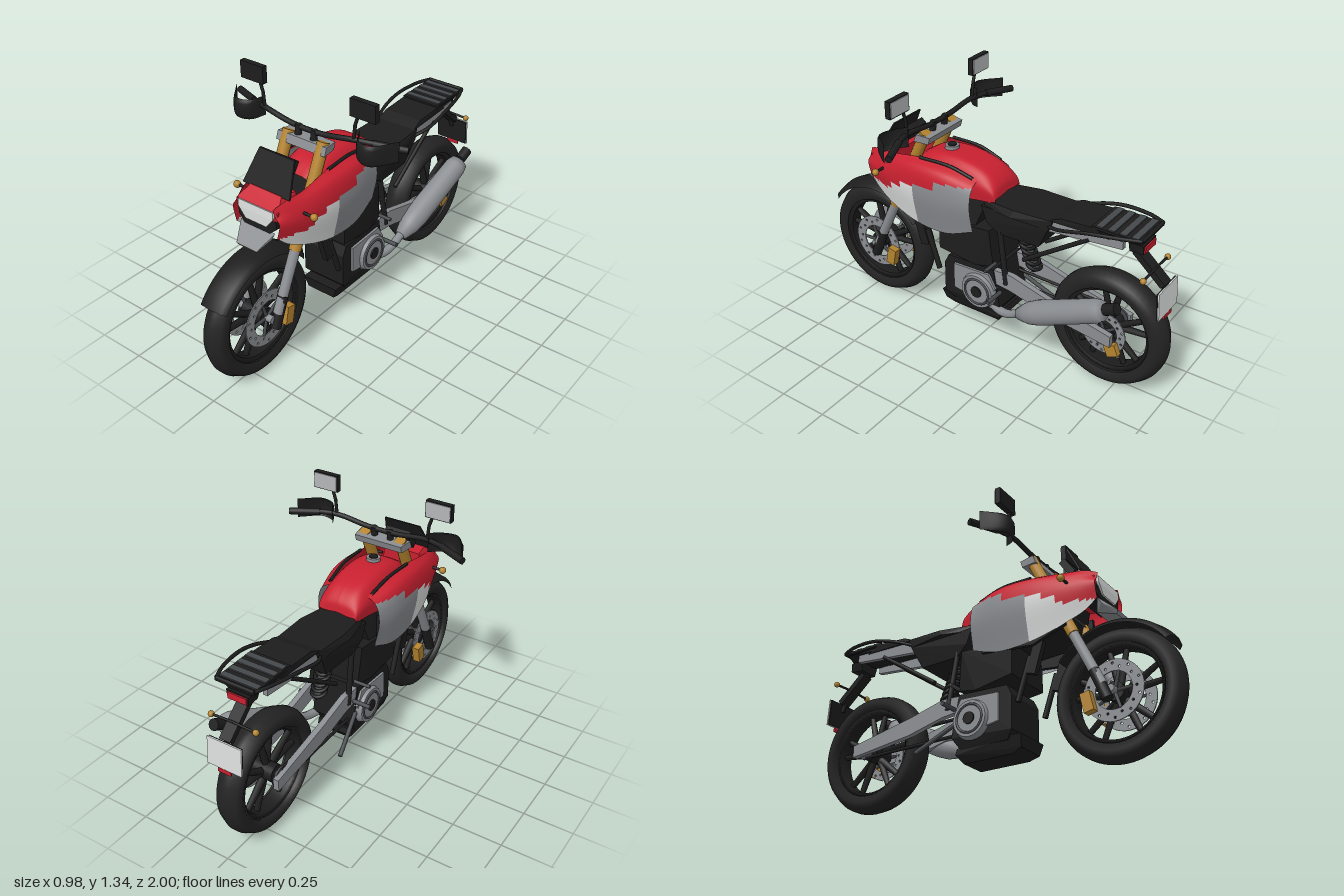
import * as THREE from 'three';
import { ConvexGeometry } from 'three/addons/geometries/ConvexGeometry.js';

const V = (p) => new THREE.Vector3(...p);
const mat = (name, color) => Object.assign(
  new THREE.MeshStandardMaterial({ color, side: THREE.DoubleSide }), { name });
const M = {
  red: mat('red paint', 0xc8202f), white: mat('white paint', 0xdcdedd),
  grey: mat('grey metal', 0x8a8d91), black: mat('black plastic', 0x1d1d1e),
  tyre: mat('tyre rubber', 0x232323), gold: mat('gold metal', 0xb3832f),
  dark: mat('dark metal', 0x45484b), mirror: mat('mirror glass', 0xb4b6b8),
};

export function createModel() {
  const g = new THREE.Group();
  g.name = 'motorcycle';
  const add = (name, geo, m, pos = [0, 0, 0], parent = g) => {
    const o = new THREE.Mesh(geo, m);
    o.name = name;
    o.position.set(...pos);
    parent.add(o);
    return o;
  };
  const box = (name, m, size, pos, rx = 0, parent = g) => {
    const o = add(name, new THREE.BoxGeometry(...size), m, pos, parent);
    o.rotation.x = rx;
    return o;
  };
  // straight bar between two points
  const rod = (name, m, a, b, r, r2 = r, sides = 14, parent = g) => {
    const A = V(a), B = V(b), d = B.clone().sub(A);
    const o = add(name, new THREE.CylinderGeometry(r2, r, d.length(), sides), m,
      A.clone().add(B).multiplyScalar(0.5).toArray(), parent);
    o.quaternion.setFromUnitVectors(V([0, 1, 0]), d.normalize());
    return o;
  };
  const tube = (name, m, pts, r) => add(name,
    new THREE.TubeGeometry(new THREE.CatmullRomCurve3(pts.map(V)), 28, r, 8), m);
  const ball = (name, m, r, pos) => add(name, new THREE.SphereGeometry(r, 14, 10), m, pos);
  // convex block, symmetric in x
  const hull = (name, m, pts) => add(name,
    new ConvexGeometry(pts.flatMap(([x, y, z]) => [V([x, y, z]), V([-x, y, z])])), m);
  // side outline of [z, y] points, extruded from x0 to x1
  const plate = (name, m, pts, x0, x1) => {
    const s = new THREE.Shape(pts.map(([z, y]) => new THREE.Vector2(-z, y)));
    const geo = new THREE.ExtrudeGeometry(s, { depth: x1 - x0, bevelEnabled: false });
    return add(name, geo.rotateY(Math.PI / 2).translate(x0, 0, 0), m);
  };
  const lathe = (pts, seg = 48, start = 0, len = Math.PI * 2) => new THREE.LatheGeometry(
    pts.map((p) => new THREE.Vector2(...p)), seg, start, len).rotateZ(Math.PI / 2);
  // skin stretched over four rails, coloured by position
  const loft = (name, rails, s, mats, pick, nu = 64, nv = 24) => {
    const curves = rails.map((r) => new THREE.CatmullRomCurve3(r.map(V)));
    const pos = [], buckets = mats.map(() => []);
    for (let i = 0; i <= nu; i++) {
      const c = new THREE.CatmullRomCurve3(curves.map((k) => k.getPoint(i / nu)));
      for (let j = 0; j <= nv; j++) {
        const p = c.getPoint(j / nv);
        pos.push(p.x * s, p.y, p.z);
      }
    }
    for (let i = 0; i < nu; i++) for (let j = 0; j < nv; j++) {
      const a = i * (nv + 1) + j, b = a + nv + 1;
      const y = (pos[a * 3 + 1] + pos[(b + 1) * 3 + 1]) / 2;
      const z = (pos[a * 3 + 2] + pos[(b + 1) * 3 + 2]) / 2;
      buckets[pick(y, z)].push(...(s > 0 ? [a, a + 1, b, b, a + 1, b + 1] : [a, b, a + 1, b, b + 1, a + 1]));
    }
    const geo = new THREE.BufferGeometry();
    geo.setAttribute('position', new THREE.Float32BufferAttribute(pos, 3));
    geo.setIndex(buckets.flat());
    let at = 0;
    buckets.forEach((b, k) => { geo.addGroup(at, b.length, k); at += b.length; });
    geo.computeVertexNormals();
    return add(name, geo, mats);
  };

  // wheels
  const wheel = (name, z, y, R, w, discR, discSides) => {
    const h = new THREE.Group();
    h.name = name;
    h.position.set(0, y, z);
    g.add(h);
    const i = R - 0.08;
    add('tyre', lathe([[i, -w * 0.8], [R - 0.045, -w], [R - 0.018, -w * 0.78], [R, -w * 0.2], [R, w * 0.2],
      [R - 0.018, w * 0.78], [R - 0.045, w], [i, w * 0.8], [i, -w * 0.8]], 56), M.tyre, [0, 0, 0], h);
    add('rim', lathe([[i - 0.02, -0.035], [i, -0.045], [i, 0.045], [i - 0.02, 0.035], [i - 0.02, -0.035]]), M.black, [0, 0, 0], h);
    rod('hub', M.black, [-0.06, 0, 0], [0.06, 0, 0], 0.045, 0.045, 24, h);
    rod('axle', M.grey, [-0.1, 0, 0], [0.1, 0, 0], 0.018, 0.018, 14, h);
    for (let k = 0; k < 5; k++) for (const s of [-1, 1]) {
      const a = k * Math.PI * 0.4 + Math.PI / 2, b = a + s * 0.2;
      rod('spoke', M.black, [0, 0.03 * Math.sin(a), 0.03 * Math.cos(a)],
        [0, i * Math.sin(b), i * Math.cos(b)], 0.02, 0.014, 6, h);
    }
    const disc = new THREE.Shape().absarc(0, 0, discR, 0, Math.PI * 2);
    disc.holes.push(new THREE.Path().absarc(0, 0, discR * 0.62, 0, Math.PI * 2, true));
    for (let k = 0; k < 20; k++) {
      const a = k * Math.PI / 10, r = discR * (k % 2 ? 0.88 : 0.76);
      disc.holes.push(new THREE.Path().absarc(r * Math.cos(a), r * Math.sin(a), 0.006, 0, Math.PI * 2, true));
    }
    for (const s of discSides) {
      add('brakeDisc', new THREE.ExtrudeGeometry(disc, { depth: 0.006, bevelEnabled: false, curveSegments: 20 })
        .rotateY(Math.PI / 2), M.grey, [s * 0.066 - 0.003, 0, 0], h);
      for (let k = 0; k < 5; k++) {
        const a = k * Math.PI * 0.4;
        rod('discCarrier', M.dark, [s * 0.06, 0, 0],
          [s * 0.066, discR * 0.64 * Math.sin(a), discR * 0.64 * Math.cos(a)], 0.01, 0.008, 6, h);
      }
    }
  };
  wheel('frontWheel', 0.686, 0.32, 0.314, 0.062, 0.145, [-1, 1]);
  wheel('rearWheel', -0.69, 0.31, 0.306, 0.07, 0.115, [1]);
  add('frontFender', lathe([[0.315, -0.078], [0.34, -0.06], [0.352, 0], [0.34, 0.06], [0.315, 0.078]],
    30, 0.6, 1.9), M.black, [0, 0.32, 0.686]);

  const rails = (t, pick) => t.map((r) => pick(r));
  // z, top y, top x, widest x, middle y, bottom y, bottom x of the side fairing
  const side = [[0.655, 0.90, 0.10, 0.135, 0.84, 0.76, 0.12], [0.6, 0.92, 0.115, 0.155, 0.83, 0.71, 0.13],
    [0.5, 0.93, 0.13, 0.18, 0.82, 0.66, 0.15], [0.33, 0.955, 0.13, 0.2, 0.81, 0.61, 0.165],
    [0.15, 0.955, 0.12, 0.2, 0.81, 0.605, 0.165], [0, 0.92, 0.105, 0.175, 0.8, 0.655, 0.15]];
  // z, top y, half width, lower y of the tank
  const tank = [[-0.1, 0.85, 0.1, 0.815], [-0.085, 0.9, 0.105, 0.82], [-0.02, 0.952, 0.115, 0.82],
    [0.14, 0.985, 0.125, 0.8], [0.3, 0.968, 0.12, 0.8], [0.39, 0.92, 0.1, 0.8]];
  const paint = (y, z) => {
    if (z < 0.32) return y < (z < 0.2 ? 0.89 : 0.835) ? 2 : 0;
    return y < (z > 0.47 ? 0.755 : z > 0.4 ? 0.8 : 0.83) ? 1 : 0;
  };
  for (const s of [-1, 1]) {
    loft('sideFairing', [rails(side, (r) => [r[2], r[1], r[0]]), rails(side, (r) => [r[3] - 0.02, r[1] - 0.035, r[0]]),
      rails(side, (r) => [r[3], r[4], r[0]]), rails(side, (r) => [r[6], r[5], r[0]])], s, [M.red, M.white, M.grey], paint);
    loft('fuelTank', [rails(tank, (r) => [0, r[1], r[0]]), rails(tank, (r) => [r[2] * 0.65, r[1] - 0.008, r[0]]),
      rails(tank, (r) => [r[2], (r[1] + r[3]) / 2 + 0.01, r[0]]), rails(tank, (r) => [r[2], r[3], r[0]])],
    s, [M.red], () => 0, 30, 14);
    tube('tankSeam', M.black, [[s * 0.118, 0.925, 0.02], [s * 0.128, 0.958, 0.15], [s * 0.134, 0.957, 0.32]], 0.008);
    plate('lowerFairingInner', M.black, [[0.5, 0.66], [0.33, 0.6], [0.05, 0.63], [0.05, 0.8], [0.5, 0.8]], s * 0.14 - 0.01, s * 0.14 + 0.01);

    // fork legs
    rod('forkTube', M.gold, [s * 0.1, 0.62, 0.52], [s * 0.1, 1.08, 0.305], 0.029);
    rod('forkLower', M.grey, [s * 0.1, 0.34, 0.65], [s * 0.1, 0.65, 0.505], 0.025);
    rod('forkBoot', M.black, [s * 0.1, 0.27, 0.672], [s * 0.1, 0.42, 0.612], 0.026);
    box('frontCaliper', M.gold, [0.04, 0.095, 0.05], [s * 0.085, 0.28, 0.57], -0.2);
    // handlebar controls
    rod('grip', M.black, [s * 0.34, 1.135, 0.268], [s * 0.485, 1.125, 0.208], 0.017);
    loft('handGuard', [1.07, 1.09, 1.15, 1.17].map((y, k) => [[0.27, y + 0.012, 0.27], [0.31, y, 0.33 + (k % 3 ? 0.012 : 0)],
      [0.38, y, 0.345 + (k % 3 ? 0.012 : 0)], [0.465, y + 0.01, 0.25]]), s, [M.black], () => 0, 16, 6);
    rod('mirrorStem', M.black, [s * 0.255, 1.14, 0.29], [s * 0.262, 1.21, 0.29], 0.008);
    rod('mirrorStem', M.black, [s * 0.262, 1.21, 0.29], [s * 0.285, 1.28, 0.29], 0.008);
    box('mirrorShell', M.black, [0.135, 0.085, 0.028], [s * 0.312, 1.298, 0.292]);
    box('mirrorGlass', M.mirror, [0.125, 0.075, 0.004], [s * 0.312, 1.298, 0.276]);
    rod('barRiser', M.black, [s * 0.045, 1.05, 0.31], [s * 0.045, 1.12, 0.3], 0.016);
    // turn signals
    rod('frontSignalStem', M.black, [s * 0.13, 0.85, 0.53], [s * 0.22, 0.85, 0.53], 0.007);
    ball('frontSignal', M.gold, 0.018, [s * 0.225, 0.85, 0.53]);
    rod('rearSignalStem', M.black, [0, 0.71, -0.89], [s * 0.12, 0.705, -0.89], 0.006);
    ball('rearSignal', M.gold, 0.015, [s * 0.12, 0.705, -0.89]);
    // frame, swingarm and pegs
    plate('swingarm', M.grey, [[-0.02, 0.39], [-0.02, 0.455], [-0.2, 0.46], [-0.39, 0.41], [-0.75, 0.335],
      [-0.75, 0.275], [-0.4, 0.32], [-0.2, 0.37]], s * 0.1 - 0.015, s * 0.1 + 0.015);
    rod('rearFrameTube', M.black, [s * 0.09, 0.8, -0.6], [s * 0.1, 0.57, -0.26], 0.011);
    rod('seatFrameTube', M.black, [s * 0.1, 0.72, -0.12], [s * 0.11, 0.4, -0.17], 0.014);
    plate('tailFrame', M.grey, [[-0.38, 0.77], [-0.42, 0.835], [-0.77, 0.85], [-0.77, 0.81]], s * 0.085 - 0.012, s * 0.085 + 0.012);
    rod('frontDownTube', M.black, [s * 0.12, 0.56, 0.3], [s * 0.12, 0.35, 0.23], 0.014);
    box('radiatorGuard', M.black, [0.03, 0.16, 0.05], [s * 0.12, 0.545, 0.33], 0.3);
    rod('footPeg', M.dark, [s * 0.1, s < 0 ? 0.395 : 0.33, -0.13], [s * 0.21, s < 0 ? 0.395 : 0.33, -0.13], 0.011);
    rod('crashPeg', M.dark, [s * 0.1, 0.49, -0.1], [s * 0.19, 0.49, -0.1], 0.009);
    tube('rackRail', M.black, [[s * 0.1, 0.8, -0.38], [s * 0.145, 0.83, -0.47], [s * 0.155, 0.87, -0.62],
      [s * 0.13, 0.885, -0.78], [s * 0.1, 0.885, -0.86]], 0.009);
    add('engineCover', new THREE.CylinderGeometry(0.09, 0.1, 0.03, 28).rotateZ(-s * Math.PI / 2), M.grey, [s * 0.135, 0.317, -0.02]);
    add('coverRing', new THREE.TorusGeometry(0.07, 0.006, 6, 28).rotateY(Math.PI / 2), M.dark, [s * 0.15, 0.317, -0.02]);
    add('coverCap', new THREE.CylinderGeometry(0.03, 0.03, 0.01, 20).rotateZ(Math.PI / 2), M.black, [s * 0.152, 0.317, -0.02]);
    plate('engineSide', M.grey, [[0.13, 0.28], [0.13, 0.42], [-0.08, 0.43], [-0.12, 0.36], [-0.06, 0.25]], s * 0.122 - 0.01, s * 0.122 + 0.01);
  }

  // front bodywork
  hull('innerBody', M.black, [[0.11, 0.66, 0.46], [0.11, 0.83, 0.5], [0.1, 0.86, 0.1], [0.12, 0.64, 0.02], [0.09, 0.85, -0.06]]);
  hull('headlightCowl', M.red, [[0.12, 0.85, 0.645], [0.09, 0.93, 0.585], [0.12, 0.88, 0.645], [0.1, 0.92, 0.5], [0.07, 0.785, 0.645], [0.11, 0.82, 0.5]]);
  hull('headlight', M.white, [[0.1, 0.885, 0.655], [0.1, 0.85, 0.658], [0.06, 0.8, 0.658], [0.1, 0.87, 0.62], [0.06, 0.8, 0.62]]);
  hull('headlightSurround', M.black, [[0.11, 0.84, 0.648], [0.11, 0.8, 0.645], [0.07, 0.765, 0.652], [0.1, 0.78, 0.56]]);
  hull('beak', M.grey, [[0.1, 0.775, 0.645], [0.09, 0.745, 0.66], [0.05, 0.69, 0.715], [0.06, 0.705, 0.725], [0.06, 0.72, 0.62]]);
  hull('windscreen', M.black, [[0.135, 0.925, 0.585], [0.1, 1.075, 0.505], [0.135, 0.925, 0.575], [0.1, 1.075, 0.495]]);
  box('instruments', M.black, [0.14, 0.1, 0.035], [0, 1.0, 0.48], -0.6);
  hull('upperClamp', M.grey, [[0.14, 1.035, 0.35], [0.14, 1.075, 0.335], [0.13, 1.035, 0.27], [0.13, 1.07, 0.26]]);
  hull('lowerClamp', M.dark, [[0.13, 0.74, 0.49], [0.13, 0.78, 0.47], [0.12, 0.76, 0.42]]);
  tube('handlebar', M.black, [[-0.485, 1.125, 0.208], [-0.36, 1.135, 0.26], [-0.25, 1.135, 0.29], [-0.08, 1.112, 0.3], [0.08, 1.112, 0.3],
    [0.25, 1.135, 0.29], [0.36, 1.135, 0.26], [0.485, 1.125, 0.208]], 0.013);
  add('fuelCap', new THREE.CylinderGeometry(0.034, 0.036, 0.025, 24), M.grey, [0, 0.987, 0.225]);
  add('fuelCapCentre', new THREE.CylinderGeometry(0.022, 0.022, 0.006, 20), M.black, [0, 1.001, 0.225]);

  // engine and skid plate
  hull('airbox', M.black, [[0.14, 0.66, 0.21], [0.14, 0.49, 0.21], [0.13, 0.46, 0], [0.12, 0.48, -0.1], [0.13, 0.68, -0.08]]);
  hull('engineBlock', M.black, [[0.12, 0.45, 0.17], [0.12, 0.4, 0.195], [0.12, 0.23, 0.195], [0.1, 0.19, 0.16], [0.1, 0.19, -0.1], [0.12, 0.25, -0.14], [0.12, 0.46, -0.1]]);
  hull('skidPlate', M.black, [[0.1, 0.21, 0.23], [0.08, 0.15, 0.22], [0.07, 0.13, 0.17], [0.07, 0.13, -0.1], [0.1, 0.17, -0.13], [0.1, 0.2, -0.12]]);
  tube('exhaustPipe', M.grey, [[0.1, 0.24, -0.08], [0.12, 0.235, -0.15], [0.13, 0.25, -0.21], [0.14, 0.3, -0.29]], 0.022);
  const muffler = add('muffler', new THREE.LatheGeometry([[0, 0], [0.032, 0], [0.055, 0.07], [0.062, 0.14], [0.057, 0.49], [0.048, 0.525], [0, 0.53]]
    .map((p) => new THREE.Vector2(...p)), 28), M.grey, [0.14, 0.285, -0.27]);
  const out = V([0.045, 0.245, -0.48]).normalize();
  muffler.quaternion.setFromUnitVectors(V([0, 1, 0]), out);
  rod('exhaustTip', M.black, [0.184, 0.535, -0.75], [0.187, 0.565, -0.81], 0.028);
  rod('shockBody', M.dark, [0, 0.46, -0.27], [0, 0.68, -0.18], 0.022);
  for (let k = 0; k < 7; k++) {
    const c = add('shockCoil', new THREE.TorusGeometry(0.037, 0.009, 6, 18).rotateX(Math.PI / 2 - 0.39), M.black, [0, 0.49 + k * 0.026, -0.258 + k * 0.0106]);
    c.rotation.x = 0;
  }
  rod('sideStand', M.dark, [-0.11, 0.34, -0.08], [-0.16, 0.2, -0.32], 0.011);
  for (const y of [0.275, 0.36]) rod('driveChain', M.black, [-0.085, y, -0.08], [-0.085, y > 0.3 ? 0.35 : 0.27, -0.69], 0.008);
  add('rearSprocket', new THREE.CylinderGeometry(0.05, 0.05, 0.01, 20).rotateZ(Math.PI / 2), M.dark, [-0.085, 0.31, -0.69]);
  box('rearCaliper', M.gold, [0.03, 0.06, 0.06], [0.085, 0.245, -0.75], 0.4);

  // seat, rack and tail
  hull('riderSeat', M.black, [[0.1, 0.825, -0.04], [0.11, 0.79, -0.04], [0.14, 0.8, -0.2], [0.125, 0.835, -0.22], [0.115, 0.84, -0.42], [0.12, 0.79, -0.4]]);
  hull('sidePanel', M.black, [[0.12, 0.8, -0.03], [0.12, 0.79, -0.4], [0.11, 0.67, -0.12], [0.1, 0.67, -0.34], [0.12, 0.72, -0.06]]);
  hull('pillionSeat', M.black, [[0.11, 0.835, -0.39], [0.105, 0.865, -0.46], [0.105, 0.875, -0.63], [0.1, 0.84, -0.7]]);
  hull('tailTray', M.black, [[0.1, 0.845, -0.6], [0.1, 0.865, -0.6], [0.1, 0.865, -0.84], [0.06, 0.84, -0.84]]);
  box('rackBase', M.black, [0.21, 0.012, 0.25], [0, 0.877, -0.74]);
  for (let k = 0; k < 4; k++) box('rackSlat', M.dark, [0.2, 0.006, 0.032], [0, 0.886, -0.65 - k * 0.058]);
  rod('rackEnd', M.black, [-0.1, 0.885, -0.86], [0.1, 0.885, -0.86], 0.009);
  hull('tailLightHousing', M.black, [[0.065, 0.835, -0.78], [0.06, 0.835, -0.85], [0.055, 0.79, -0.85], [0.05, 0.785, -0.78]]);
  box('tailLight', M.red, [0.1, 0.032, 0.008], [0, 0.812, -0.853]);
  box('plateArm', M.black, [0.06, 0.2, 0.03], [0, 0.71, -0.87], 0.85);
  box('plateBacking', M.black, [0.18, 0.135, 0.006], [0, 0.575, -0.954], 0.07);
  box('numberPlate', M.white, [0.185, 0.14, 0.006], [0, 0.575, -0.962], 0.07);
  box('plateReflector', M.red, [0.07, 0.022, 0.008], [0, 0.495, -0.967]);
  rod('plateStem', M.black, [0, 0.65, -0.93], [0, 0.6, -0.95], 0.012);
  return g;
}
